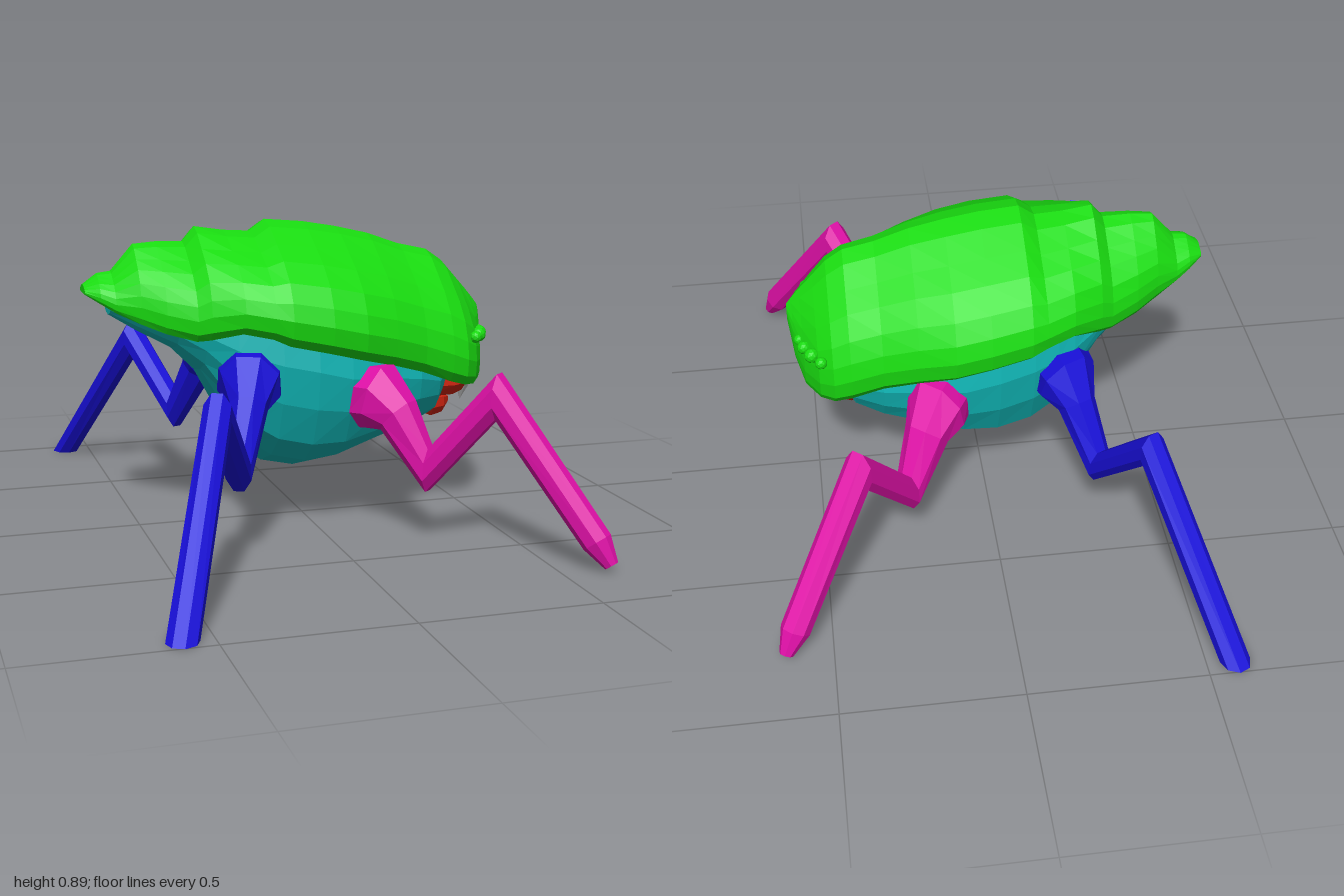
import * as THREE from 'three';

const mat = (color) => new THREE.MeshStandardMaterial({ color, flatShading: true });
const green = mat(0x19dc10), teal = mat(0x10b4b4), blue = mat(0x180fd8);
const pink = mat(0xe010a8), red = mat(0xd02410), white = mat(0xe8e8e8);
const V = (x, y, z) => new THREE.Vector3(x, y, z);

// Skin closed rings of equal point count, cap both ends, and face the result outward
function loft(name, rings, material) {
  const tris = [];
  const n = rings[0].length;
  for (let i = 0; i < rings.length - 1; i++) {
    for (let j = 0; j < n; j++) {
      const k = (j + 1) % n;
      const a = rings[i][j], b = rings[i][k], c = rings[i + 1][k], d = rings[i + 1][j];
      tris.push([a, b, c], [a, c, d]);
    }
  }
  [rings[0], rings[rings.length - 1]].forEach((ring, end) => {
    const mid = ring.reduce((s, p) => s.add(p), V(0, 0, 0)).divideScalar(n);
    for (let j = 0; j < n; j++) {
      const a = ring[j], b = ring[(j + 1) % n];
      tris.push(end ? [mid, a, b] : [mid, b, a]);
    }
  });
  let volume = 0;
  for (const [a, b, c] of tris) volume += a.dot(b.clone().cross(c));
  if (volume < 0) tris.forEach((t) => t.reverse());
  const geo = new THREE.BufferGeometry().setFromPoints(tris.flat());
  geo.computeVertexNormals();
  const mesh = new THREE.Mesh(geo, material);
  mesh.name = name;
  return mesh;
}

// Symmetric section: half profile of [width 0..1, height 0..1], mirrored across z = 0
function section(half, [x, top, bottom, w]) {
  const right = half.map(([u, v]) => V(x, bottom + v * (top - bottom), u * w));
  const left = right.filter((p) => p.z > 1e-6).reverse().map((p) => V(p.x, p.y, -p.z));
  return [...right, ...left];
}

// Leg along [x, y, z, radius] joints, mitred at each bend; flatFoot cuts the end level
function leg(name, joints, side, material, flatFoot) {
  const pts = joints.map(([x, y, z]) => V(x, y, z * side));
  const rings = pts.map((p, i) => {
    const before = p.clone().sub(pts[Math.max(i - 1, 0)]).normalize();
    const after = pts[Math.min(i + 1, pts.length - 1)].clone().sub(p).normalize();
    const along = before.clone().add(after).normalize();
    const span = pts[pts.length - 1].clone().sub(pts[0]);
    const across = V(-span.z, 0, span.x).normalize();
    const up = across.clone().cross(along).normalize();
    const r = joints[i][3];
    const ref = i ? before : after;
    let stretch = Math.min(1 / Math.max(along.dot(ref), 0.1), 1.7);
    if (flatFoot && i === pts.length - 1) {
      up.y = 0;
      up.normalize();
      stretch = 1.1;
    }
    return Array.from({ length: 8 }, (_, k) => {
      const t = (k + 0.5) * Math.PI / 4;
      return p.clone().addScaledVector(across, r * Math.cos(t))
        .addScaledVector(up, r * stretch * Math.sin(t));
    });
  });
  return loft(name, rings, material);
}

export function createModel() {
  const model = new THREE.Group();
  model.name = 'beetleCreature';

  // Domed back shell: x, top, rim, half width
  const shellHalf = [[0, 1], [0.2, 0.95], [0.44, 0.82], [0.66, 0.7], [0.86, 0.54], [0.96, 0.38], [1, 0.23], [0.97, 0.08], [0.88, 0]];
  const shellRows = [
    [-0.65, 0.725, 0.70, 0.045], [-0.61, 0.755, 0.675, 0.075], [-0.57, 0.76, 0.65, 0.095],
    [-0.505, 0.835, 0.62, 0.13], [-0.44, 0.84, 0.595, 0.17], [-0.36, 0.838, 0.575, 0.21],
    [-0.325, 0.88, 0.58, 0.23], [-0.24, 0.867, 0.60, 0.275], [-0.16, 0.862, 0.585, 0.305],
    [-0.115, 0.895, 0.565, 0.32], [0, 0.885, 0.54, 0.33], [0.1, 0.868, 0.515, 0.325],
    [0.2, 0.845, 0.49, 0.295], [0.3, 0.81, 0.46, 0.265], [0.39, 0.79, 0.425, 0.252],
    [0.44, 0.755, 0.41, 0.24], [0.48, 0.71, 0.405, 0.205], [0.52, 0.665, 0.41, 0.135],
    [0.545, 0.635, 0.47, 0.07], [0.56, 0.615, 0.57, 0.015]];
  model.add(loft('backShell', shellRows.map((r) => section(shellHalf, r)), green));

  // Rounded belly hanging below the shell
  const bellyHalf = [[0, 0], [0.45, 0.1], [0.75, 0.25], [0.93, 0.5], [1, 0.75], [0.95, 1]];
  const bellyRows = [
    [-0.58, 0.67, 0.635, 0.05], [-0.5, 0.66, 0.585, 0.095], [-0.4, 0.64, 0.53, 0.145],
    [-0.33, 0.63, 0.46, 0.19], [-0.25, 0.63, 0.31, 0.235], [-0.2, 0.63, 0.225, 0.255],
    [-0.13, 0.62, 0.172, 0.275], [-0.03, 0.6, 0.15, 0.29], [0.07, 0.56, 0.165, 0.285],
    [0.2, 0.53, 0.215, 0.255], [0.3, 0.5, 0.25, 0.225], [0.38, 0.46, 0.285, 0.17], [0.43, 0.44, 0.37, 0.1]];
  model.add(loft('belly', bellyRows.map((r) => section(bellyHalf, r)), teal));

  // Mouth: upper lip and lower jaw
  const lipHalf = [[0, 0], [0.75, 0], [1, 0.45], [1, 1]];
  const lip = [[0.36, 0.43, 0.35, 0.11], [0.45, 0.43, 0.355, 0.12], [0.49, 0.43, 0.37, 0.115], [0.515, 0.425, 0.385, 0.08]];
  const jaw = [[0.34, 0.36, 0.31, 0.09], [0.39, 0.35, 0.288, 0.09], [0.43, 0.345, 0.295, 0.075], [0.455, 0.34, 0.315, 0.045]];
  model.add(loft('upperLip', lip.map((r) => section(lipHalf, r)), red));
  model.add(loft('lowerJaw', jaw.map((r) => section(lipHalf, r)), red));

  for (const side of [1, -1]) {
    const label = side > 0 ? 'Left' : 'Right';

    // Fangs
    const fang = new THREE.Mesh(new THREE.ConeGeometry(0.024, 0.07, 6), white);
    fang.name = 'fang' + label;
    fang.position.set(0.485, 0.365, 0.075 * side);
    fang.rotation.x = Math.PI + 0.35 * side;
    model.add(fang);

    // Row of small eyes
    const eyes = new THREE.Group();
    eyes.name = 'eyes' + label;
    for (const [x, z, r] of [[0.53, 0.09, 0.016], [0.518, 0.128, 0.02], [0.498, 0.168, 0.022], [0.473, 0.207, 0.018]]) {
      const eye = new THREE.Mesh(new THREE.IcosahedronGeometry(r, 1), green);
      eye.name = 'eye';
      eye.position.set(x, 0.55, z * side);
      eyes.add(eye);
    }
    model.add(eyes);

    // Legs: hip, low joint, high knee, foot
    model.add(leg('frontLeg' + label, [
      [0.13, 0.40, 0.2, 0.1], [0.155, 0.405, 0.265, 0.095], [0.19, 0.36, 0.325, 0.065], [0.255, 0.215, 0.405, 0.042],
      [0.395, 0.45, 0.555, 0.044], [0.6, 0.08, 0.765, 0.042], [0.63, 0.02, 0.795, 0.02]], side, pink, false));
    model.add(leg('backLeg' + label, [
      [-0.21, 0.46, 0.18, 0.1], [-0.225, 0.46, 0.255, 0.09], [-0.245, 0.41, 0.31, 0.055], [-0.3, 0.25, 0.405, 0.038],
      [-0.4, 0.46, 0.585, 0.04], [-0.58, 0, 0.958, 0.042]], side, blue, true));
  }
  return model;
}
